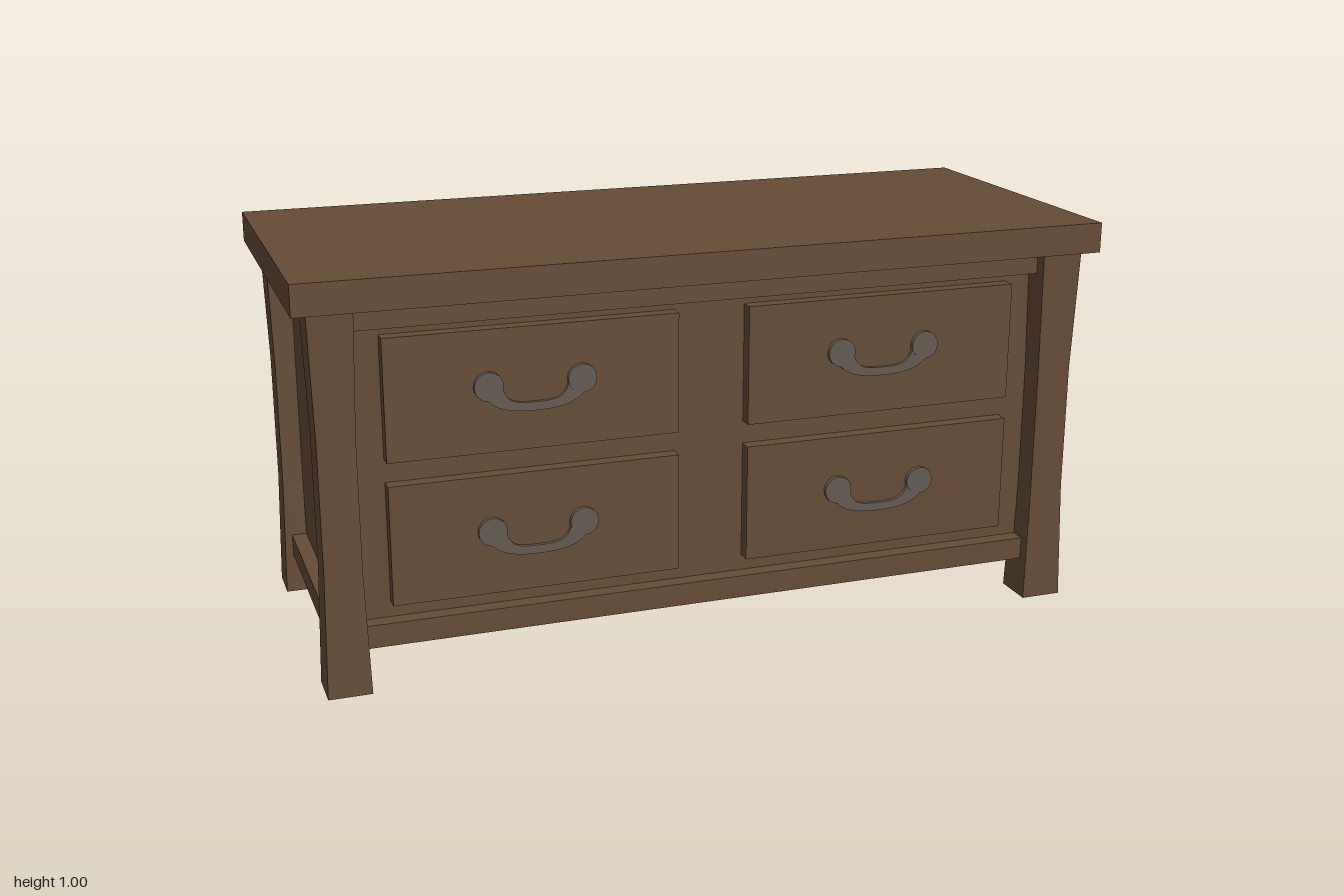
import * as THREE from 'three';

const wood = new THREE.MeshStandardMaterial({ color: 0x654b35, side: THREE.DoubleSide });
wood.name = 'brown wood';
const metal = new THREE.MeshStandardMaterial({ color: 0x635a52 });
metal.name = 'dull metal';

// Box given by its min and max corners
function box(name, [x0, y0, z0], [x1, y1, z1]) {
  const mesh = new THREE.Mesh(new THREE.BoxGeometry(x1 - x0, y1 - y0, z1 - z0), wood);
  mesh.position.set((x0 + x1) / 2, (y0 + y1) / 2, (z0 + z1) / 2);
  mesh.name = name;
  return mesh;
}

// Square, slightly waisted hollow leg
function legGeometry() {
  const levels = [[0, 0.0525], [0.3, 0.0445], [0.62, 0.0445], [0.925, 0.0525]];
  const profile = levels.map(([y, half]) => new THREE.Vector2(half * Math.SQRT2, y));
  const geometry = new THREE.LatheGeometry(profile, 4, Math.PI / 4).toNonIndexed();
  geometry.computeVertexNormals();
  return geometry;
}

// Flat drooping pull between two round ends
function makeHandle() {
  const handle = new THREE.Group();
  handle.name = 'handle';
  const s = new THREE.Shape();
  s.moveTo(-0.13, -0.01);
  s.bezierCurveTo(-0.11, -0.06, -0.06, -0.067, 0, -0.067);
  s.bezierCurveTo(0.06, -0.067, 0.11, -0.06, 0.13, -0.01);
  s.lineTo(0.082, 0.004);
  s.bezierCurveTo(0.072, -0.045, 0.05, -0.046, 0, -0.046);
  s.bezierCurveTo(-0.05, -0.046, -0.072, -0.045, -0.082, 0.004);
  const bail = new THREE.Mesh(
    new THREE.ExtrudeGeometry(s, { depth: 0.01, bevelEnabled: false, curveSegments: 10 }), metal);
  bail.name = 'handleBail';
  handle.add(bail);
  for (const side of [-1, 1]) {
    const knob = new THREE.Mesh(new THREE.CylinderGeometry(0.035, 0.035, 0.012, 16), metal);
    knob.rotation.x = Math.PI / 2;
    knob.position.set(side * 0.112, 0, 0.006);
    knob.name = 'handleEnd';
    handle.add(knob);
  }
  return handle;
}

export function createModel() {
  const model = new THREE.Group();
  model.name = 'drawerChest';

  model.add(box('tableTop', [-1, 0.925, -0.42], [1, 1, 0.42]));

  const legGeo = legGeometry();
  for (const x of [-1, 1]) for (const z of [-1, 1]) {
    const leg = new THREE.Mesh(legGeo, wood);
    leg.position.set(x * 0.9125, 0, z * 0.3385);
    leg.name = 'leg';
    model.add(leg);
  }

  // Thin panels with rails along their lower and upper edges, open underneath
  const railHeights = [[0.1, 0.157], [0.868, 0.922]];
  for (const s of [-1, 1]) {
    const ends = (a, b) => [Math.min(s * a, s * b), Math.max(s * a, s * b)];
    const [pz0, pz1] = ends(0.308, 0.318);
    model.add(box(s > 0 ? 'frontPanel' : 'backPanel', [-0.88, 0.1, pz0], [0.88, 0.922, pz1]));
    const [px0, px1] = ends(0.895, 0.905);
    model.add(box(s > 0 ? 'leftPanel' : 'rightPanel', [px0, 0.1, -0.31], [px1, 0.922, 0.31]));
    for (const [y0, y1] of railHeights) {
      const [rz0, rz1] = ends(0.312, 0.358);
      model.add(box(s > 0 ? 'frontRail' : 'backRail', [-0.875, y0, rz0], [0.875, y1, rz1]));
      const [rx0, rx1] = ends(0.9, 0.942);
      model.add(box('sideRail', [rx0, y0, -0.305], [rx1, y1, 0.305]));
    }
  }

  // Four drawers, two by two
  for (const x of [-0.4425, 0.4425]) for (const [y0, y1, pull] of [[0.197, 0.492, 0.355], [0.549, 0.845, 0.711]]) {
    const drawer = new THREE.Group();
    drawer.name = 'drawer';
    drawer.add(box('drawerFront', [x - 0.3535, y0, 0.315], [x + 0.3535, y1, 0.353]));
    const handle = makeHandle();
    handle.position.set(x, pull, 0.352);
    drawer.add(handle);
    model.add(drawer);
  }
  return model;
}
